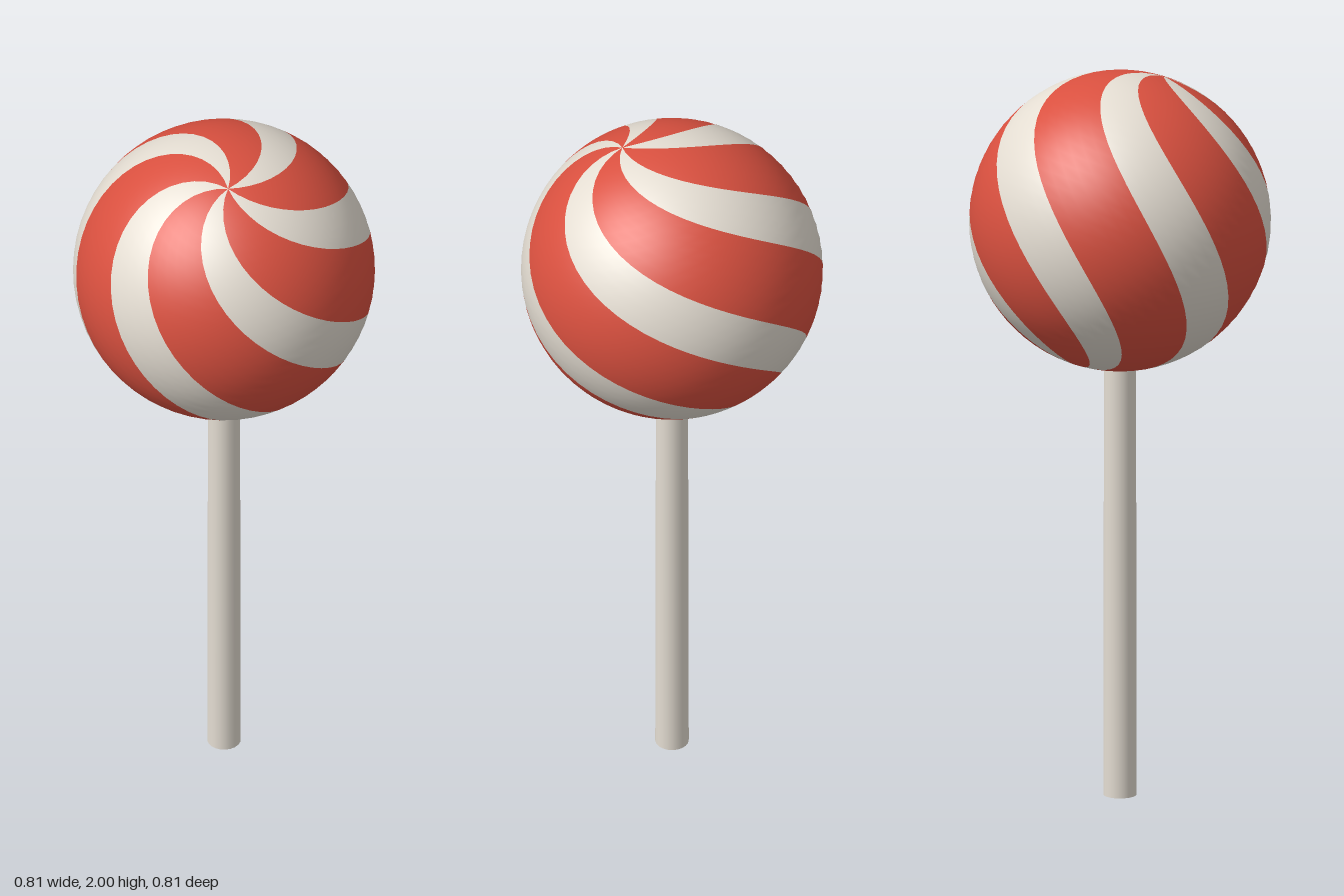
import * as THREE from 'three';

const RADIUS = 0.405;
const STRIPES = 5;
const rad = THREE.MathUtils.degToRad;

// One stripe: a slice of a sphere, twisted half a turn from pole to pole.
function stripeGeometry(startDeg, widthDeg, segments) {
  const geo = new THREE.SphereGeometry(RADIUS, segments, 40, rad(startDeg), rad(widthDeg));
  const pos = geo.attributes.position;
  const normal = geo.attributes.normal;
  const up = new THREE.Vector3(0, 1, 0);
  const v = new THREE.Vector3();
  for (let i = 0; i < pos.count; i++) {
    v.fromBufferAttribute(pos, i);
    const polar = Math.acos(THREE.MathUtils.clamp(v.y / RADIUS, -1, 1));
    v.applyAxisAngle(up, polar);
    pos.setXYZ(i, v.x, v.y, v.z);
    v.normalize();
    normal.setXYZ(i, v.x, v.y, v.z);
  }
  return geo;
}

export function createModel() {
  const red = new THREE.MeshStandardMaterial({ name: 'candyRed', color: 0xd9503f });
  const cream = new THREE.MeshStandardMaterial({ name: 'cream', color: 0xe4ddd2 });
  const model = new THREE.Group();
  model.name = 'lollipop';

  // Candy ball, its poles tilted toward the front
  const candy = new THREE.Group();
  candy.name = 'candy';
  candy.position.y = 2 - RADIUS;
  candy.rotation.x = rad(20);
  const pitch = 360 / STRIPES;
  const creamWidth = 29;
  for (let i = 0; i < STRIPES; i++) {
    const start = 180 + i * pitch;
    const creamStripe = new THREE.Mesh(stripeGeometry(start, creamWidth, 4), cream);
    creamStripe.name = 'creamStripe' + (i + 1);
    const redStripe = new THREE.Mesh(stripeGeometry(start + creamWidth, pitch - creamWidth, 6), red);
    redStripe.name = 'redStripe' + (i + 1);
    candy.add(creamStripe, redStripe);
  }
  model.add(candy);

  // Stick, its top hidden inside the ball
  const height = 1.25;
  const stick = new THREE.Mesh(new THREE.CylinderGeometry(0.043, 0.045, height, 20), cream);
  stick.name = 'stick';
  stick.position.y = height / 2;
  model.add(stick);

  return model;
}
